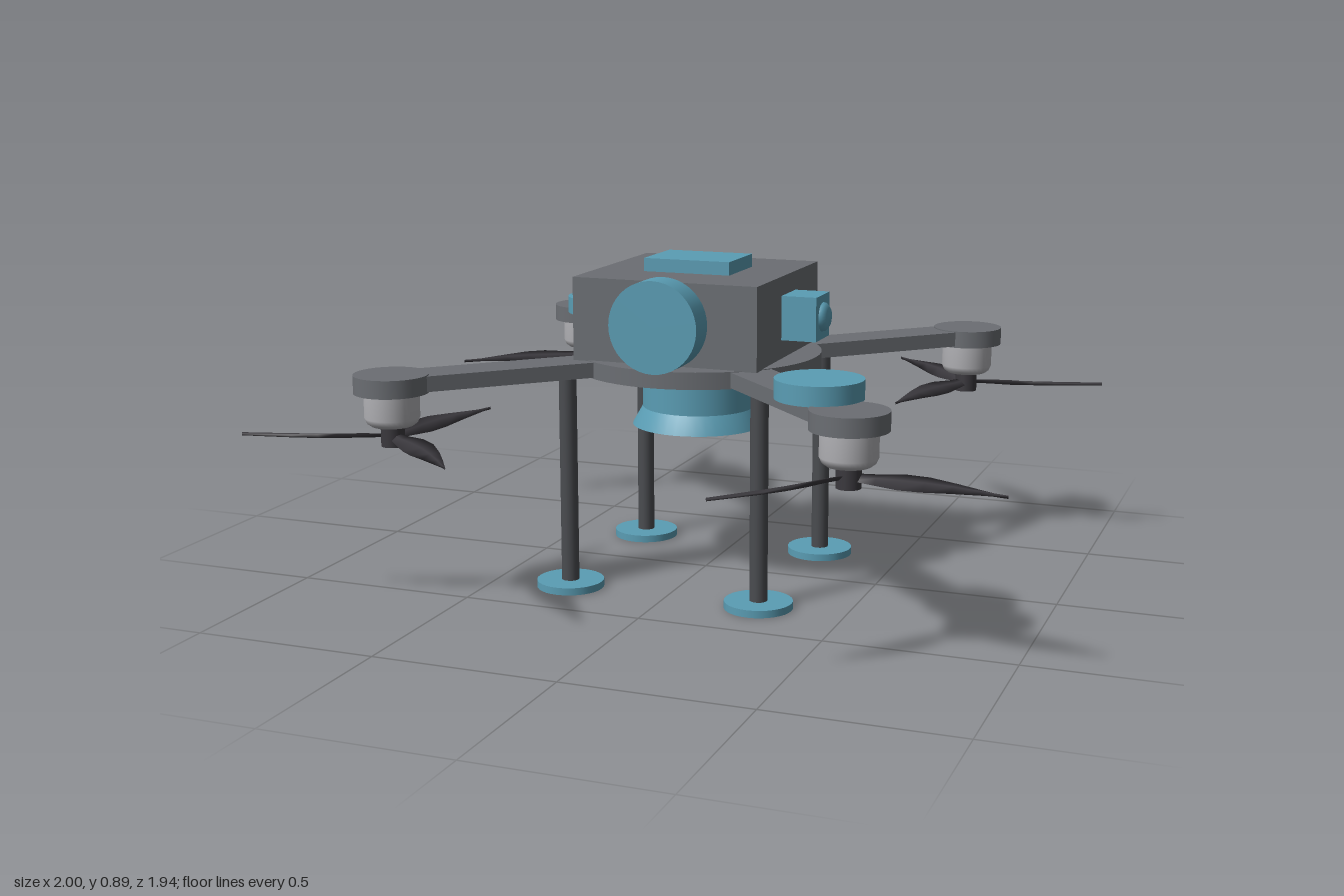
import * as THREE from 'three';

const mat = (name, color, side = THREE.FrontSide) => {
  const m = new THREE.MeshStandardMaterial({ color, side });
  m.name = name;
  return m;
};

// Propeller blade along +x: thin diamond cross-sections, twisted and swept
function bladeGeometry(sign) {
  // [distance, half width, sweep, pitch]
  const stations = [
    [0.01, 0.014, 0, 0.5], [0.07, 0.02, 0, 0.5], [0.13, 0.031, 0.006, 0.42],
    [0.19, 0.033, 0.008, 0.34], [0.26, 0.025, 0.004, 0.26],
    [0.33, 0.014, -0.004, 0.2], [0.397, 0.002, -0.012, 0.15],
  ];
  const pos = [], idx = [];
  stations.forEach(([x, w, sweep, pitch]) => {
    const t = 0.004 + w * 0.06;
    [[w, 0], [0, t], [-w, 0], [0, -t]].forEach(([a, b]) => {
      const z = a * Math.cos(pitch) - b * Math.sin(pitch) + sweep;
      const y = a * Math.sin(pitch) + b * Math.cos(pitch);
      pos.push(x, y, z * sign);
    });
  });
  for (let s = 0; s < stations.length - 1; s++) {
    for (let k = 0; k < 4; k++) {
      const a = s * 4 + k, b = s * 4 + (k + 1) % 4, c = a + 4, d = b + 4;
      if (sign > 0) idx.push(a, b, c, b, d, c);
      else idx.push(a, c, b, b, c, d);
    }
  }
  const g = new THREE.BufferGeometry();
  g.setAttribute('position', new THREE.Float32BufferAttribute(pos, 3));
  g.setIndex(idx);
  g.computeVertexNormals();
  return g;
}

export function createModel() {
  const gray = mat('frame gray', 0x6b6e73);
  const teal = mat('teal', 0x5a9db4);
  const tealOpen = teal;
  const silver = mat('motor silver', 0xb2b2b6);
  const dark = mat('leg charcoal', 0x4a4c50);
  const black = mat('propeller black', 0x3a383d, THREE.DoubleSide);

  const root = new THREE.Group();
  root.name = 'quadcopter';
  const body = new THREE.Group();
  body.name = 'airframe';
  body.position.set(-0.01, 0, 0.03);
  root.add(body);

  const add = (parent, name, geo, m, x = 0, y = 0, z = 0) => {
    const mesh = new THREE.Mesh(geo, m);
    mesh.name = name;
    mesh.position.set(x, y, z);
    parent.add(mesh);
    return mesh;
  };
  const disc = (r, h, n = 40) => new THREE.CylinderGeometry(r, r, h, n);
  const lathe = (pts, n = 40) =>
    new THREE.LatheGeometry(pts.map(([r, y]) => new THREE.Vector2(r, y)), n);

  // Central plate and electronics housing
  add(body, 'basePlate', disc(0.34, 0.046, 56), gray, 0, 0.609, 0);
  add(body, 'housing', new THREE.BoxGeometry(0.52, 0.225, 0.52), gray, 0, 0.7425, 0);
  add(body, 'topModule', new THREE.BoxGeometry(0.246, 0.036, 0.186), teal, 0, 0.873, 0);

  // Front sensor drum
  const drum = add(body, 'frontSensor', disc(0.123, 0.08), teal, 0, 0.745, 0.3);
  drum.rotation.x = Math.PI / 2;

  // Side camera on the model's left
  add(body, 'sideCamera', new THREE.BoxGeometry(0.1, 0.12, 0.12), teal, 0.307, 0.743, 0);
  const lens = add(body, 'sideLens', lathe([[0.04, 0], [0.038, 0.01], [0.026, 0.02], [0, 0.023]], 24), teal, 0.355, 0.743, 0);
  lens.rotation.z = -Math.PI / 2;

  // Belly camera: barrel, flared hood and recessed lens
  add(body, 'bellyCamera', disc(0.155, 0.12), teal, 0, 0.53, 0);
  add(body, 'cameraHood', lathe([[0.15, 0.475], [0.176, 0.425], [0.183, 0.425], [0.155, 0.475]]), tealOpen);

  // Landing legs with feet
  for (const sx of [-1, 1]) for (const sz of [-1, 1]) {
    const leg = new THREE.Group();
    leg.name = 'landingLeg';
    leg.position.set(sx * 0.273, 0, sz * 0.273);
    body.add(leg);
    add(leg, 'strut', disc(0.024, 0.575, 20), dark, 0, 0.305, 0);
    add(leg, 'foot', disc(0.092, 0.02, 32), teal, 0, 0.01, 0);
  }

  // Arms, motors and propellers: [x side, z side, propeller angle]
  const rotors = [[-1, -1, 23.1], [1, -1, -11.8], [-1, 1, 40.4], [1, 1, 6]];
  const blades = { '-1': bladeGeometry(1), '1': bladeGeometry(-1) };
  for (const [sx, sz, angle] of rotors) {
    const arm = add(body, 'arm', new THREE.BoxGeometry(0.62, 0.041, 0.118), gray, sx * 0.4, 0.6095, sz * 0.4);
    arm.rotation.y = -Math.atan2(sz, sx);

    const rotor = new THREE.Group();
    rotor.name = 'rotor';
    rotor.position.set(sx * 0.615, 0, sz * 0.615);
    body.add(rotor);
    add(rotor, 'motorMount', disc(0.098, 0.048), gray, 0, 0.609, 0);
    add(rotor, 'motor', lathe([[0, 0.497], [0.055, 0.498], [0.066, 0.506], [0.072, 0.52], [0.072, 0.587]], 32), silver);
    add(rotor, 'shaft', disc(0.031, 0.06, 24), black, 0, 0.473, 0);
    for (let i = 0; i < 3; i++) {
      const b = add(rotor, 'blade', blades[sz], black, 0, 0.47, 0);
      b.rotation.y = -THREE.MathUtils.degToRad(angle + i * 120);
    }
  }

  // Round antenna pods on two opposite arms
  for (const s of [-1, 1]) {
    add(body, 'antennaPod', disc(0.111, 0.05), teal, s * 0.506, 0.656, s * 0.506);
  }
  return root;
}
